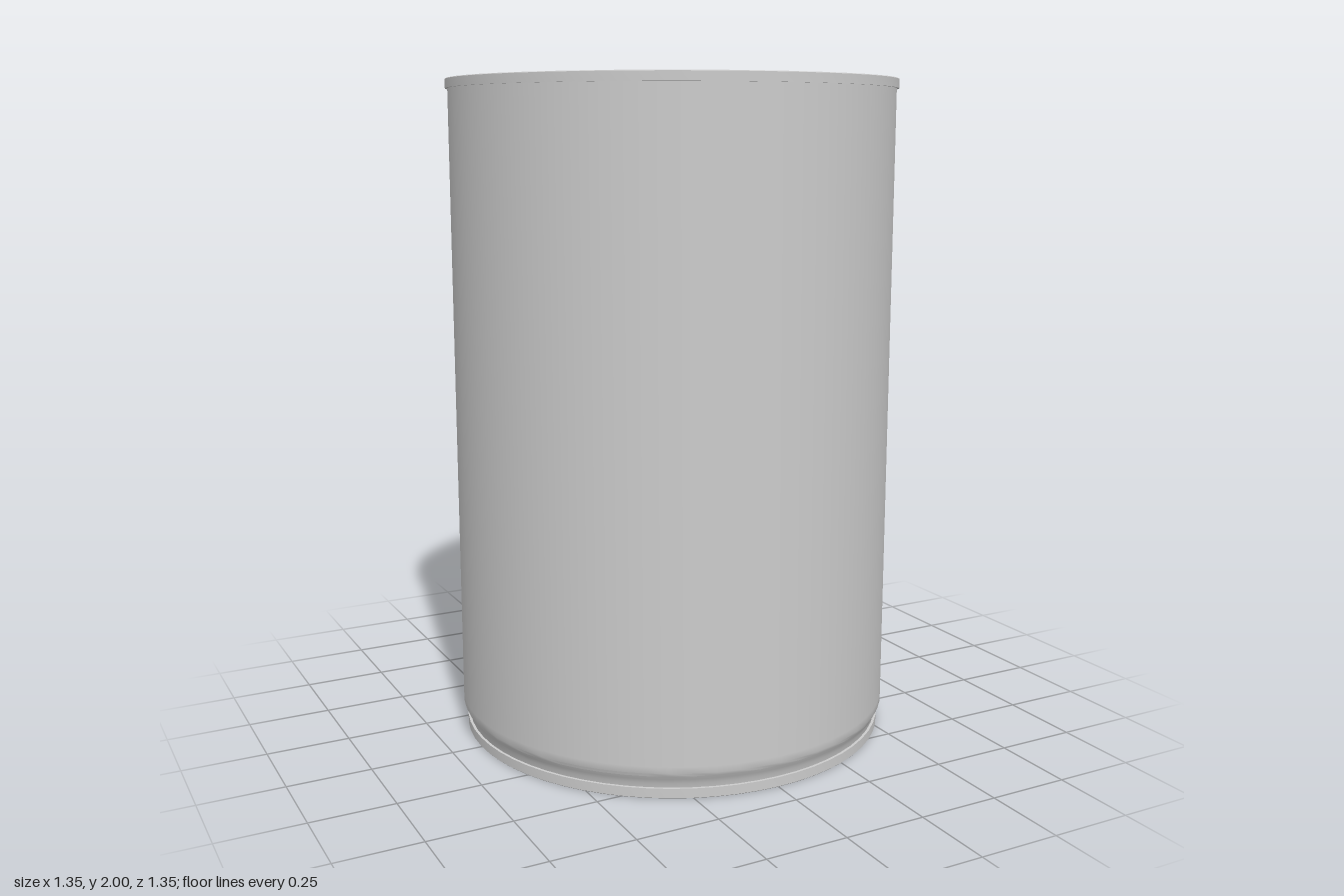
import * as THREE from 'three';
import { toCreasedNormals } from 'three/addons/utils/BufferGeometryUtils.js';

const SIDES = 64;

// Revolved part; the profile runs so that its outside lies to the right of travel
function revolve(name, profile) {
  const points = profile.map(([r, y]) => new THREE.Vector2(r, y));
  const geometry = toCreasedNormals(new THREE.LatheGeometry(points, SIDES), 0.4);
  const material = new THREE.MeshStandardMaterial({ color: 0xcccccc, side: THREE.DoubleSide });
  const mesh = new THREE.Mesh(geometry, material);
  mesh.name = name;
  return mesh;
}

// Flat border and shallow bowl as [radius, depth] from the edge to the centre
function dish(edge) {
  const bowlRadius = 0.49, bowlDepth = 0.085, rings = 12;
  const profile = [[edge, 0], [0.57, 0.001], [0.52, 0.004]];
  for (let i = 0; i <= rings; i++) {
    const t = 1 - i / rings;
    profile.push([bowlRadius * t, 0.008 + bowlDepth * (1 - t * t)]);
  }
  return profile;
}

export function createModel() {
  const can = new THREE.Group();
  can.name = 'can';

  // Straight wall with a necked-in foot
  can.add(revolve('body', [
    [0.65, 0.03], [0.653, 0.044], [0.659, 0.058], [0.666, 0.07], [0.67, 0.08], [0.67, 0.1], [0.67, 1.975],
  ]));

  // Top seam, shallow groove and dished lid
  can.add(revolve('lid', [
    [0.668, 1.972], [0.677, 1.972], [0.677, 1.998], [0.675, 2], [0.662, 2], [0.66, 1.998], [0.659, 1.965],
    ...dish(0.635).map(([r, d]) => [r, 1.977 - d]),
  ]));

  // Bottom seam, shallow groove and dished base
  can.add(revolve('base', [
    ...dish(0.62).reverse().map(([r, d]) => [r, 0.023 + d]),
    [0.643, 0.034], [0.644, 0.002], [0.646, 0], [0.656, 0], [0.658, 0.002], [0.658, 0.03], [0.65, 0.03],
  ]));

  return can;
}
